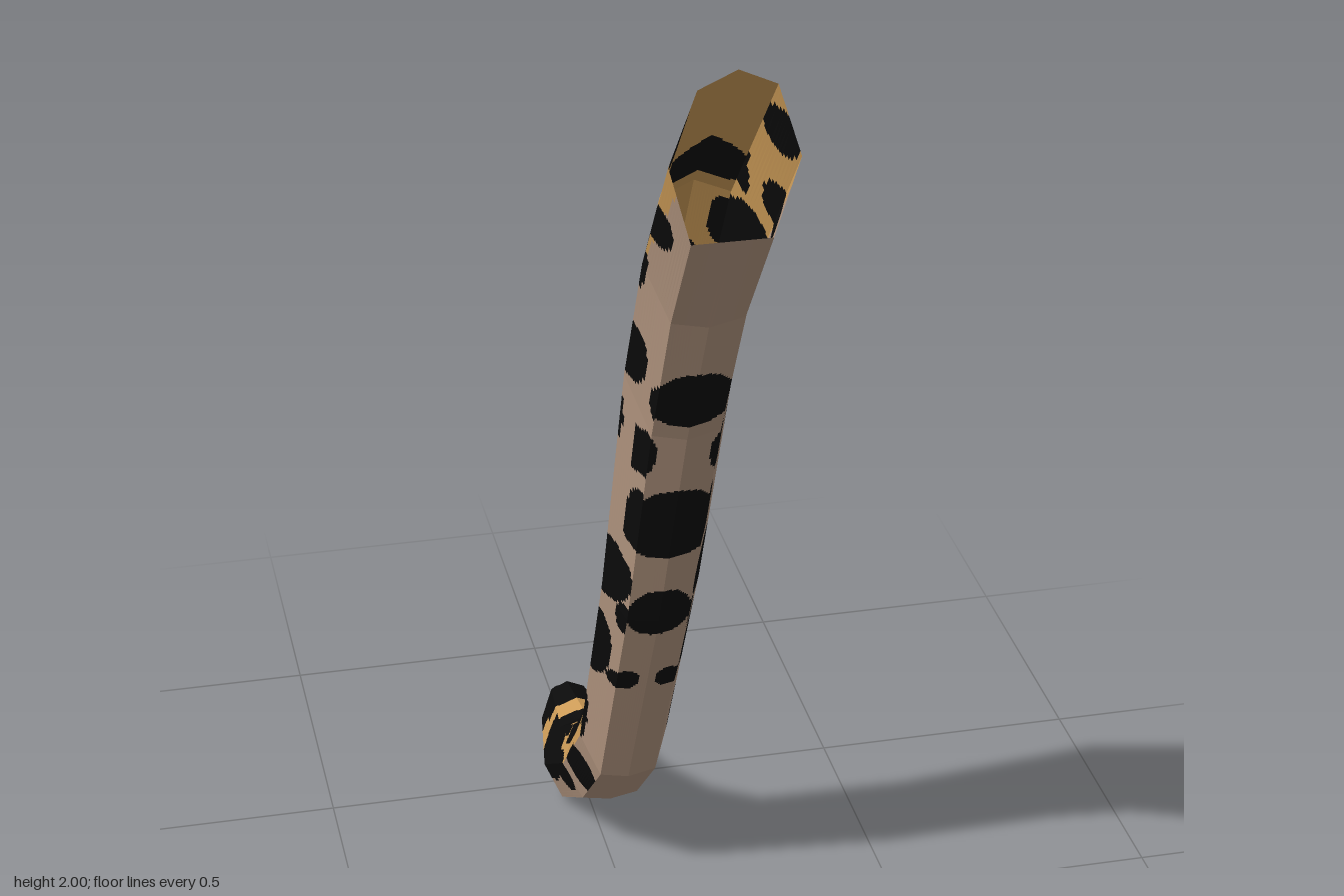
import * as THREE from 'three';

// Rings from the open root to the tip: top z, y, bottom z, y, half width
const RINGS = [
  [0.69, 2.0, 0.67, 1.72, 0.1],
  [0.42, 1.71, 0.53, 1.51, 0.094],
  [0.265, 1.45, 0.39, 1.24, 0.091],
  [0.05, 0.88, 0.19, 0.78, 0.086],
  [-0.15, 0.455, -0.06, 0.295, 0.082],
  [-0.3, 0.285, -0.225, 0.135, 0.084],
  [-0.445, 0.185, -0.42, 0.008, 0.088],
  [-0.645, 0.14, -0.62, 0.002, 0.055],
  [-0.69, 0.105, -0.686, 0.08, 0.025],
];

// Half cross-section from top centre to belly centre: share of width, share of depth
const SECTION = [[0, 0], [0.6, 0.1], [1, 0.53], [0.63, 0.95], [0, 1]];

// Flank spots: z, y, radius along the tail, radius across
const SIDE_SPOTS = [
  [0.65, 1.88, 0.05, 0.036], [0.577, 1.72, 0.05, 0.042], [0.5, 1.8, 0.04, 0.03],
  [0.444, 1.62, 0.075, 0.052], [0.37, 1.41, 0.07, 0.05], [0.425, 1.31, 0.035, 0.022],
  [0.255, 1.26, 0.09, 0.05], [0.32, 1.56, 0.05, 0.03], [0.35, 1.2, 0.055, 0.025],
  [0.29, 1.04, 0.075, 0.034], [0.15, 1.085, 0.09, 0.03], [0.155, 0.885, 0.08, 0.052],
  [0.17, 0.78, 0.04, 0.02], [0.04, 0.68, 0.1, 0.055], [-0.01, 0.78, 0.13, 0.016],
  [-0.1, 0.45, 0.115, 0.045], [-0.17, 0.25, 0.065, 0.046], [-0.25, 0.335, 0.06, 0.042],
  [-0.3, 0.16, 0.055, 0.04], [-0.42, 0.135, 0.095, 0.062], [-0.35, 0.23, 0.03, 0.02],
  [-0.635, 0.09, 0.06, 0.055],
];

// Spots along the back: x, z, radius x, radius z
const TOP_SPOTS = [
  [0, 0.49, 0.068, 0.044], [0.055, 0.39, 0.025, 0.03], [0, 0.32, 0.032, 0.025],
  [0, 0.255, 0.035, 0.01], [0.053, 0.13, 0.03, 0.04], [0, 0, 0.055, 0.065],
  [0, -0.095, 0.052, 0.032], [0.055, -0.15, 0.025, 0.035], [0, -0.265, 0.11, 0.06],
  [0, -0.42, 0.15, 0.066], [0, -0.62, 0.11, 0.075],
];

// Spots along the belly: x, y, radius x, radius y
const BELLY_SPOTS = [
  [0, 1.335, 0.066, 0.063], [0.075, 1.2, 0.03, 0.05], [0, 1.03, 0.078, 0.085],
  [0.075, 0.87, 0.02, 0.06], [0, 0.8, 0.055, 0.06], [0.04, 0.605, 0.026, 0.026],
];

const lerp = THREE.MathUtils.lerp;

// Vertex of ring i at section corner j
function corner(i, j) {
  const [tz, ty, bz, by, w] = RINGS[i];
  const [sx, f] = SECTION[j];
  const depth = i === 0 && j === 3 ? 1 : f;
  return new THREE.Vector3(sx * w, lerp(ty, by, depth), lerp(tz, bz, depth));
}

const inside = (a, ra, b, rb) => Math.abs(a / ra) ** 2.3 + Math.abs(b / rb) ** 2.3 < 1;

// Which coat colour covers a point of segment i, v corners around from the top
function coatAt(p, i, t, v, dir) {
  if (i === 7) return 'black';
  if (v > 1 && v < 3 && SIDE_SPOTS.some(([z, y, ra, rb]) => {
    const dz = p.z - z, dy = p.y - y;
    return inside(dz * dir.z + dy * dir.y, ra, dz * dir.y - dy * dir.z, rb);
  })) return 'black';
  if (v < 1.5 && TOP_SPOTS.some(([x, z, rx, rz]) => inside(p.x - x, rx, p.z - z, rz))) return 'black';
  if (v > 2.5 && BELLY_SPOTS.some(([x, y, rx, ry]) => inside(p.x - x, rx, p.y - y, ry))) return 'black';
  const border = i === 0 ? 2 + 0.35 * (1 - t) : 2;
  return v < border ? 'tan' : 'belly';
}

export function createModel() {
  const group = new THREE.Group();
  group.name = 'tail';
  const buckets = { tan: [], belly: [], black: [] };

  // Adds a triangle and its mirrored twin
  const tri = (coat, a, b, c) => {
    buckets[coat].push(a.x, a.y, a.z, b.x, b.y, b.z, c.x, c.y, c.z);
    buckets[coat].push(-a.x, a.y, a.z, -c.x, c.y, c.z, -b.x, b.y, b.z);
  };

  // Each flat facet is cut into narrow strips, and each strip into runs of one colour
  const STRIPS = 14;
  for (let i = 0; i < RINGS.length - 1; i++) {
    const dir = corner(i + 1, 2).sub(corner(i, 2));
    const steps = Math.ceil(dir.length() / 0.005);
    dir.normalize();
    for (let j = 0; j < SECTION.length - 1; j++) {
      const [a, b, c, d] = [corner(i, j), corner(i, j + 1), corner(i + 1, j), corner(i + 1, j + 1)];
      const at = (t, s) => a.clone().lerp(b, s).lerp(c.clone().lerp(d, s), t);
      for (let k = 0; k < STRIPS; k++) {
        const s0 = k / STRIPS, s1 = (k + 1) / STRIPS, sm = (s0 + s1) / 2;
        const coat = n => coatAt(at((n + 0.5) / steps, sm), i, (n + 0.5) / steps, j + sm, dir);
        let start = 0, current = coat(0);
        for (let n = 1; n <= steps; n++) {
          const next = n < steps ? coat(n) : null;
          if (next === current) continue;
          const t0 = start / steps, t1 = n / steps;
          const p = at(t0, s0), q = at(t0, s1), r = at(t1, s1), o = at(t1, s0);
          tri(current, p, q, r);
          tri(current, p, r, o);
          start = n;
          current = next;
        }
      }
    }
  }

  // Blunt tip
  const last = RINGS.length - 1;
  for (let j = 1; j < SECTION.length - 1; j++) {
    tri('black', corner(last, 0), corner(last, j), corner(last, j + 1));
  }

  const parts = [
    ['tan', 'backFur', 'tan fur', 0xd6a35c],
    ['belly', 'bellyFur', 'pale belly fur', 0xbb9d86],
    ['black', 'spotsAndTip', 'black spots', 0x0c0c0c],
  ];
  for (const [coat, partName, colourName, color] of parts) {
    const geometry = new THREE.BufferGeometry();
    geometry.setAttribute('position', new THREE.Float32BufferAttribute(buckets[coat], 3));
    geometry.computeVertexNormals();
    const material = new THREE.MeshStandardMaterial({ color, flatShading: true, side: THREE.DoubleSide });
    material.name = colourName;
    const mesh = new THREE.Mesh(geometry, material);
    mesh.name = partName;
    group.add(mesh);
  }
  return group;
}
